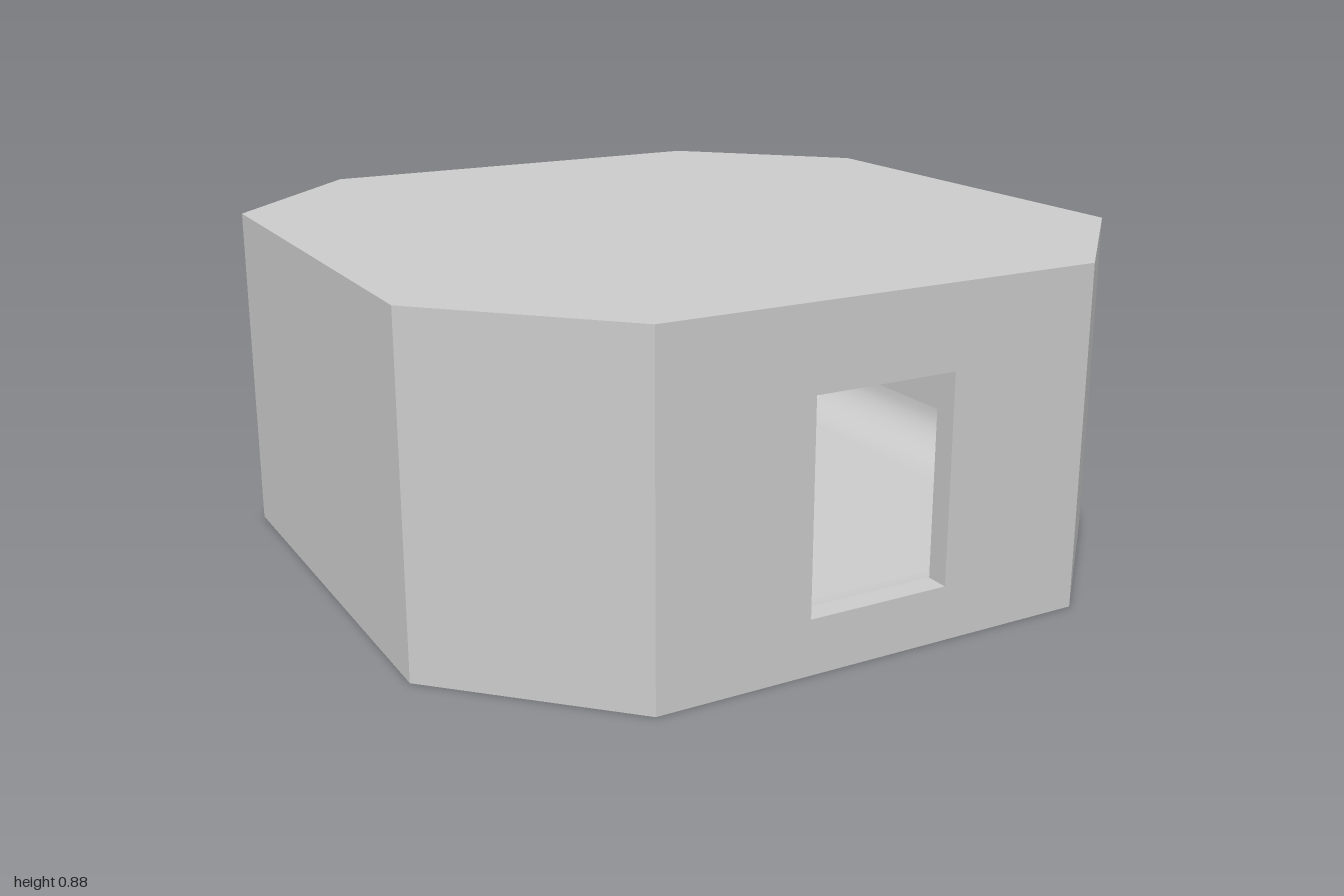
import * as THREE from 'three';

const HEIGHT = 0.88, WALL = 0.06;
const DOOR = { half: 0.19, y0: 0.14, y1: 0.67 };

// Apothem and half width of one octagon side, moved inward by an inset
function side(i, inset) {
  const straight = i % 2 === 0;
  return {
    apothem: (straight ? 1 : 1.59 / Math.SQRT2) - inset,
    half: (straight ? 0.59 : 0.41 / Math.SQRT2) - inset * Math.tan(Math.PI / 8),
  };
}

// Strip along one side through [inset, y] points: upward order faces out, downward faces in
function sideStrip(i, profile) {
  const pos = [], idx = [];
  profile.forEach(([inset, y], r) => {
    const { apothem, half } = side(i, inset);
    pos.push(-half, y, apothem, half, y, apothem);
    if (r) {
      const a = 2 * r - 2;
      idx.push(a, a + 1, a + 3, a, a + 3, a + 2);
    }
  });
  const g = new THREE.BufferGeometry();
  g.setAttribute('position', new THREE.Float32BufferAttribute(pos, 3));
  g.setIndex(idx);
  g.computeVertexNormals();
  return g.rotateY(i * Math.PI / 4);
}

// Front wall surface with the doorway cut out
function frontWall(inset, y0, y1) {
  const { apothem, half } = side(0, inset);
  const rect = (C, h, a, b) => new C([[-h, a], [h, a], [h, b], [-h, b]].map(p => new THREE.Vector2(...p)));
  const shape = rect(THREE.Shape, half, y0, y1);
  shape.holes.push(rect(THREE.Path, DOOR.half, DOOR.y0, DOOR.y1));
  return new THREE.ShapeGeometry(shape).translate(0, 0, apothem);
}

// Horizontal octagon, facing up or down
function slab(inset, y, up) {
  const { apothem: a, half: h } = side(0, inset);
  const pts = [[h, a], [a, h], [a, -h], [h, -a], [-h, -a], [-a, -h], [-a, h], [-h, a]];
  const shape = new THREE.Shape(pts.map(p => new THREE.Vector2(...p)));
  return new THREE.ShapeGeometry(shape).rotateX(up ? -Math.PI / 2 : Math.PI / 2).translate(0, y, 0);
}

export function createModel() {
  const model = new THREE.Group();
  model.name = 'octagonalRoom';
  const material = new THREE.MeshStandardMaterial({ color: 0xcccccc, side: THREE.DoubleSide });
  const add = (name, geometry) => {
    const mesh = new THREE.Mesh(geometry, material);
    mesh.name = name;
    model.add(mesh);
  };
  const top = HEIGHT - WALL;

  // Roof, base and the matching inner surfaces
  add('roof', slab(0, HEIGHT, true));
  add('base', slab(0, 0, false));
  add('ceiling', slab(WALL, top, false));
  add('floor', slab(WALL, WALL, true));

  // Outer and inner walls
  add('frontWall', frontWall(0, 0, HEIGHT));
  add('innerFrontWall', frontWall(WALL, WALL, top));
  for (let i = 1; i < 8; i++) {
    add('outerWall', sideStrip(i, [[0, 0], [0, HEIGHT]]));
    add('innerWall', sideStrip(i, [[WALL, top], [WALL, WALL]]));
  }

  // Curved skirting between walls and floor, lower at the doorway
  for (let i = 0; i < 8; i++) {
    const rise = (i ? 0.19 : DOOR.y0) - WALL;
    const profile = [];
    for (let k = 0; k <= 8; k++) {
      const t = k / 8 * Math.PI / 2;
      profile.push([WALL + 0.18 * (1 - Math.cos(t)), WALL + rise * (1 - Math.sin(t))]);
    }
    add('skirting', sideStrip(i, profile));
  }

  // Doorway reveals through the wall
  const midY = (DOOR.y0 + DOOR.y1) / 2, midZ = 1 - WALL / 2;
  for (const s of [-1, 1]) {
    add('doorJamb', new THREE.PlaneGeometry(WALL, DOOR.y1 - DOOR.y0)
      .rotateY(-s * Math.PI / 2).translate(s * DOOR.half, midY, midZ));
    add(s < 0 ? 'doorSill' : 'doorHead', new THREE.PlaneGeometry(2 * DOOR.half, WALL)
      .rotateX(s * Math.PI / 2).translate(0, s < 0 ? DOOR.y0 : DOOR.y1, midZ));
  }
  return model;
}
